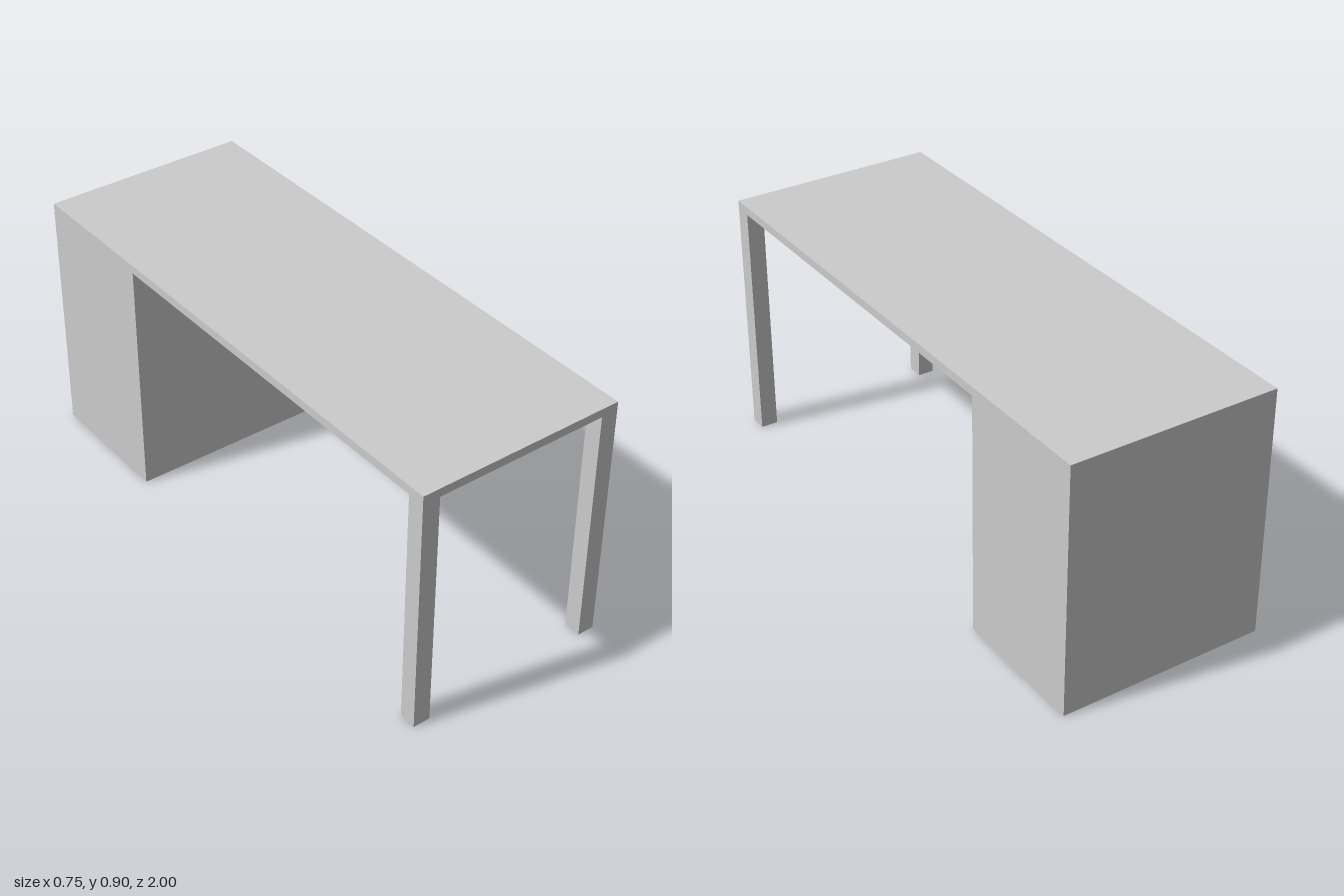
import * as THREE from 'three';

const WIDTH = 0.746, LENGTH = 2, HEIGHT = 0.903;
const TOP = 0.03, LEG = 0.062, CABINET = 0.5;

export function createModel() {
  const desk = new THREE.Group();
  desk.name = 'desk';
  const material = new THREE.MeshStandardMaterial({ color: 0xcccccc, flatShading: true });

  // Box placed by its centre in x and z and by its underside in y
  const addBox = (name, w, h, d, x, y, z) => {
    const mesh = new THREE.Mesh(new THREE.BoxGeometry(w, h, d), material);
    mesh.name = name;
    mesh.position.set(x, y + h / 2, z);
    desk.add(mesh);
  };

  const under = HEIGHT - TOP;

  // Thin slab spanning the whole length
  addBox('tabletop', WIDTH, TOP, LENGTH, 0, under, 0);

  // Solid cabinet carrying the back end
  addBox('cabinet', WIDTH, under, CABINET, 0, 0, -(LENGTH - CABINET) / 2);

  // Two square legs flush with the front corners
  for (const side of [1, -1]) {
    addBox(side > 0 ? 'leftLeg' : 'rightLeg', LEG, under, LEG,
      side * (WIDTH - LEG) / 2, 0, (LENGTH - LEG) / 2);
  }

  return desk;
}
